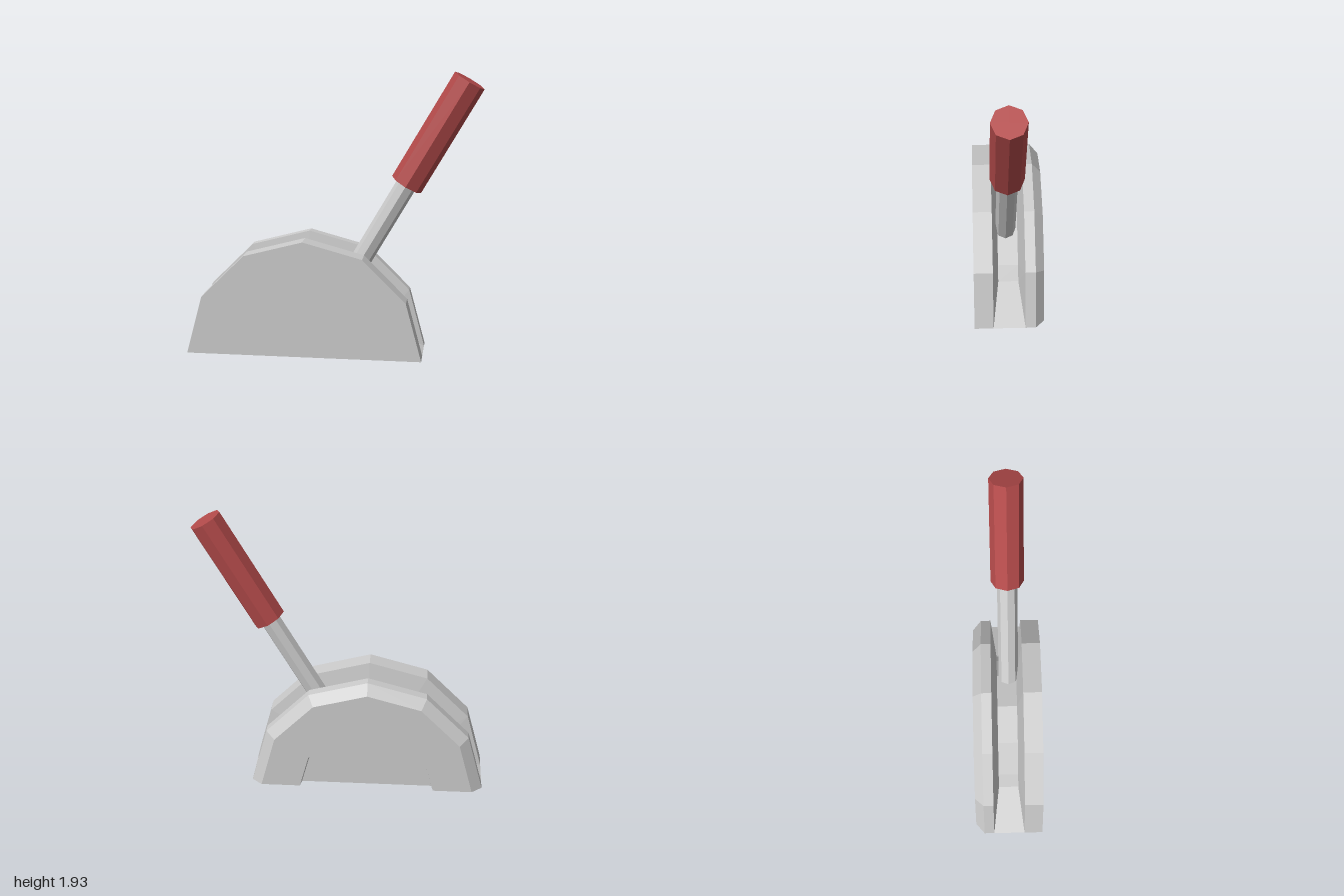
import * as THREE from 'three';

const CX = -0.195; // centre of the half-round housing
const SIDES = 6; // facets over the half turn
const LEVER_ANGLE = THREE.MathUtils.degToRad(60);

// Housing cross-section from front to back: [radius, z, height of the two ends]
const PROFILE = [
  [0, 0.24, 0],
  [0.805, 0.24, 0],
  [0.805, 0.11, 0],
  [0.502, 0.07, 0.16], // groove floor
  [0.502, -0.07, 0.16],
  [0.805, -0.11, 0],
  [0.805, -0.18, 0],
  [0.735, -0.24, 0], // back chamfer
  [0.465, -0.24, 0], // arched recess
  [0.455, -0.18, 0],
  [0, -0.18, 0],
];

function facetedGeometry(positions) {
  const g = new THREE.BufferGeometry();
  g.setAttribute('position', new THREE.Float32BufferAttribute(positions, 3));
  g.computeVertexNormals();
  return g;
}

function ringPoint(i, [r, z, endY]) {
  const a = (i / SIDES) * Math.PI;
  const atEnd = i === 0 || i === SIDES;
  return [CX + r * Math.cos(a), atEnd ? endY : r * Math.sin(a), z];
}

// Sweep the profile around half a turn; the underside stays open
function housingGeometry() {
  const pos = [];
  for (let i = 0; i < SIDES; i++) {
    for (let j = 0; j < PROFILE.length - 1; j++) {
      const p = PROFILE[j], q = PROFILE[j + 1];
      const a = ringPoint(i, p), b = ringPoint(i, q);
      const c = ringPoint(i + 1, q), d = ringPoint(i + 1, p);
      if (q[0] > 0) pos.push(...a, ...b, ...c);
      if (p[0] > 0) pos.push(...a, ...c, ...d);
    }
  }
  return facetedGeometry(pos);
}

// Slope closing the groove at one end
function rampGeometry(i) {
  const [a, b, c, d] = [2, 5, 4, 3].map((j) => ringPoint(i, PROFILE[j]));
  return facetedGeometry(i === 0
    ? [...a, ...b, ...c, ...a, ...c, ...d]
    : [...a, ...c, ...b, ...a, ...d, ...c]);
}

// Octagonal bar along the lever axis, between two distances from the pivot
function leverBar(name, radius, from, to, material) {
  const mesh = new THREE.Mesh(new THREE.CylinderGeometry(radius, radius, to - from, 8), material);
  mesh.name = name;
  mesh.position.y = (from + to) / 2;
  return mesh;
}

export function createModel() {
  const model = new THREE.Group();
  model.name = 'leverControl';
  const shell = new THREE.MeshStandardMaterial({ color: 0xcccccc, flatShading: true, side: THREE.DoubleSide });
  const metal = new THREE.MeshStandardMaterial({ color: 0xcccccc, flatShading: true });
  const red = new THREE.MeshStandardMaterial({ color: 0xb34a4a, flatShading: true });

  // Half-round housing with a groove
  const housing = new THREE.Mesh(housingGeometry(), shell);
  housing.name = 'housing';
  model.add(housing);
  for (const [name, i] of [['leftRamp', 0], ['rightRamp', SIDES]]) {
    const ramp = new THREE.Mesh(rampGeometry(i), shell);
    ramp.name = name;
    model.add(ramp);
  }

  // Lever leaning towards +x
  const lever = new THREE.Group();
  lever.name = 'lever';
  lever.position.set(CX, 0, 0.013);
  lever.rotation.z = LEVER_ANGLE - Math.PI / 2;
  lever.add(leverBar('shaft', 0.07, 0.12, 1.4, metal));
  lever.add(leverBar('grip', 0.113, 1.354, 2.166, red));
  model.add(lever);

  return model;
}
